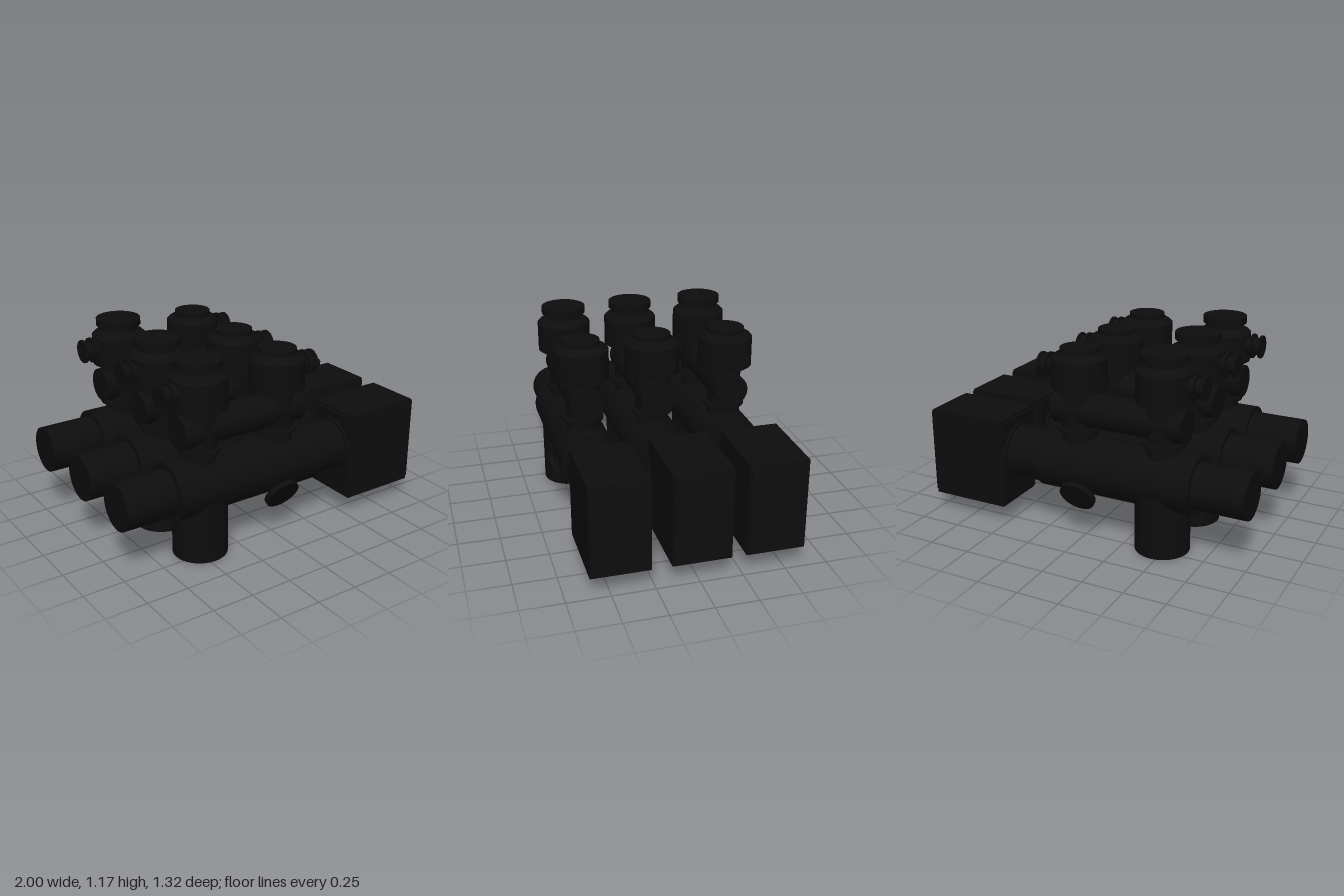
import * as THREE from 'three';
import { toCreasedNormals } from 'three/addons/utils/BufferGeometryUtils.js';

const material = new THREE.MeshStandardMaterial({ color: 0x0d0d0d });

function add(parent, name, geometry, x = 0, y = 0, z = 0) {
  const mesh = new THREE.Mesh(geometry, material);
  mesh.name = name;
  mesh.position.set(x, y, z);
  parent.add(mesh);
  return mesh;
}

// Turned part from [radius, height] pairs, listed from bottom to top
function turned(points, segments = 40) {
  const profile = points.map(([r, h]) => new THREE.Vector2(r, h));
  return toCreasedNormals(new THREE.LatheGeometry(profile, segments), 0.5);
}

// Valve with its neck, cap and side spigot; side is -1 or 1
function createValve(side, topRadius, topHeight) {
  const valve = new THREE.Group();
  valve.name = side < 0 ? 'rightValve' : 'leftValve';
  add(valve, 'valveNeck', turned([
    [0, 0.5], [0.1, 0.5], [0.1, 0.64], [0.125, 0.64], [0.125, 0.66],
    [0.1, 0.66], [0.1, 0.9], [0, 0.9],
  ]));
  add(valve, 'valveCap', turned([
    [0, 0.88], [0.14, 0.88], [0.14, 0.895], [0.162, 0.895], [0.162, 1.07],
    [0.15, 1.083], [0.113, 1.105], [0.113, topHeight - 0.042], [0, topHeight - 0.042],
  ]));
  add(valve, 'valveLid', turned([
    [0, topHeight - 0.042], [topRadius, topHeight - 0.042],
    [topRadius, topHeight], [0, topHeight],
  ]));
  const spigot = add(valve, 'sideSpigot', turned([
    [0, 0.1], [0.055, 0.1], [0.055, 0.183], [0.075, 0.183], [0.075, 0.197],
    [0.052, 0.197], [0.052, 0.232], [0.07, 0.236], [0.07, 0.248], [0, 0.248],
  ], 28), 0, 1.0, 0);
  spigot.rotation.z = -side * Math.PI / 2;
  return valve;
}

function createUnit(boxOffset) {
  const unit = new THREE.Group();

  // Main barrel along x, its stepped ends and the collar at the box
  const barrel = add(unit, 'mainBarrel', turned([
    [0, -1], [0.138, -1], [0.138, -0.69], [0.172, -0.69], [0.172, 0.27],
    [0.154, 0.27], [0.154, 0.47], [0.17, 0.47], [0.17, 0.545], [0, 0.545],
  ], 48), 0, 0.432, 0);
  barrel.rotation.z = -Math.PI / 2;

  // Outlet leg
  add(unit, 'outletLeg', new THREE.CylinderGeometry(0.16, 0.16, 0.43, 40), -0.47, 0.215, 0);

  // Box housing with slightly inset end plates
  add(unit, 'boxHousing', new THREE.BoxGeometry(0.485, 0.545, 0.342), 0.7425, 0.3875, boxOffset);
  add(unit, 'boxEndPlates', new THREE.BoxGeometry(0.513, 0.51, 0.325), 0.7425, 0.3875, boxOffset);

  // Bridge tube joining the two valves
  const bridge = add(unit, 'bridgeTube', new THREE.CylinderGeometry(0.101, 0.101, 0.815, 36), -0.2025, 0.765, 0);
  bridge.rotation.z = Math.PI / 2;

  // Valves
  const right = createValve(-1, 0.133, 1.172);
  right.position.x = -0.47;
  const left = createValve(1, 0.11, 1.13);
  left.position.x = 0.06;
  unit.add(right, left);

  // Tilted side plugs: a neck ending in a disc, facing outward and down
  for (const side of [-1, 1]) {
    const plug = add(unit, side > 0 ? 'frontPlug' : 'backPlug', turned([
      [0, -0.15], [0.06, -0.15], [0.06, -0.015], [0.107, -0.015],
      [0.107, 0.015], [0, 0.015],
    ], 36), 0, 0.288, side * 0.15);
    plug.rotation.x = side * Math.PI * 2 / 3;
  }
  return unit;
}

export function createModel() {
  const model = new THREE.Group();
  model.name = 'valveManifold';
  // Three units side by side; the middle box sits slightly off its barrel
  const units = [['frontUnit', 0.443, 0], ['middleUnit', 0.016, -0.031], ['backUnit', -0.442, 0]];
  for (const [name, z, boxOffset] of units) {
    const unit = createUnit(boxOffset);
    unit.name = name;
    unit.position.z = z;
    model.add(unit);
  }
  return model;
}
